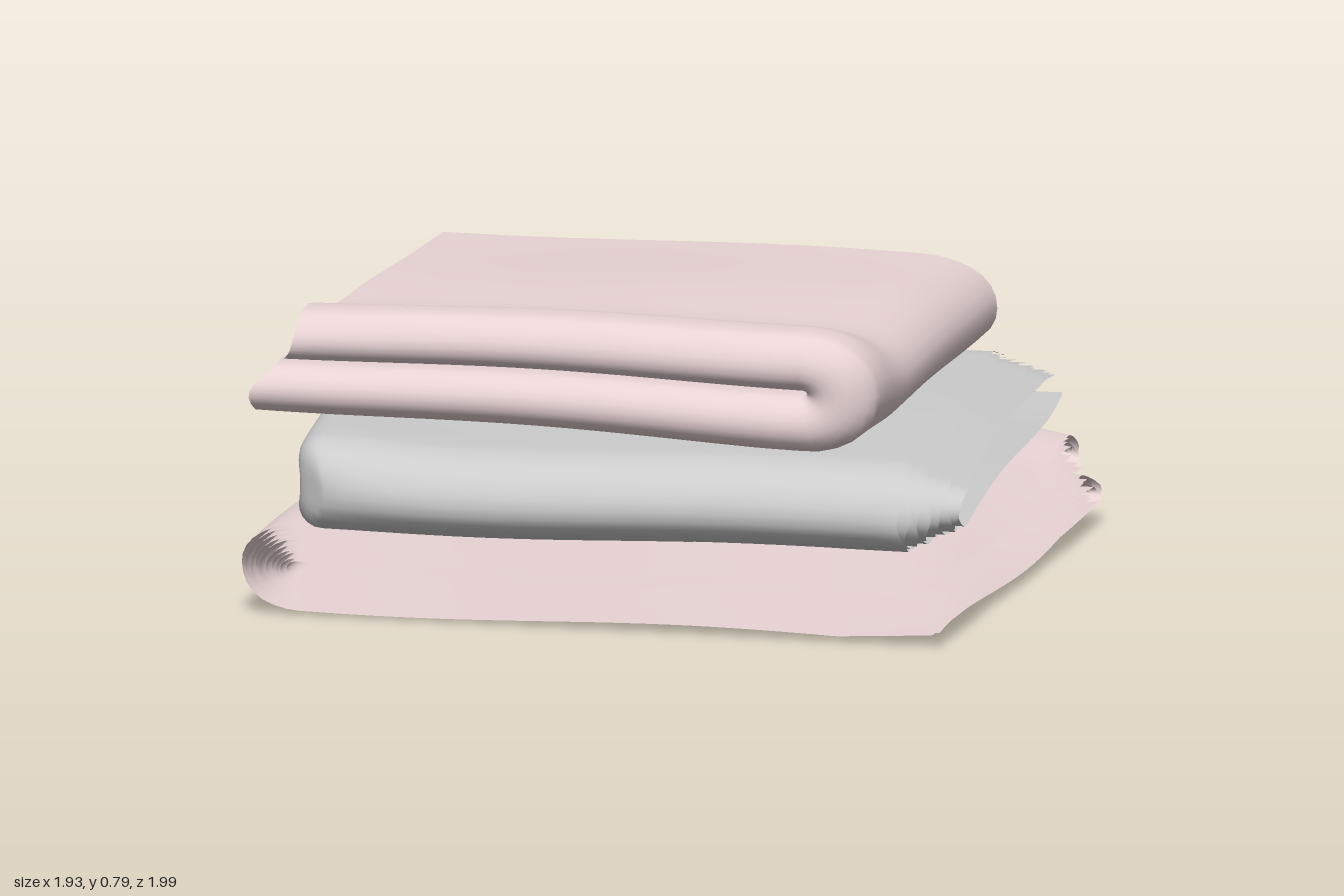
import * as THREE from 'three';

const pink = new THREE.MeshStandardMaterial({ color: 0xe8d3d4, side: THREE.DoubleSide });
const grey = new THREE.MeshStandardMaterial({ color: 0xcccccc, side: THREE.DoubleSide });
const { lerp, smoothstep } = THREE.MathUtils;

// Line - half circle - line, as fraction along the line and arc angle
function uSteps(lineN, arcN) {
  const steps = [];
  for (let i = 0; i <= lineN; i++) steps.push({ f: 1 - i / lineN, a: 0 });
  for (let i = 1; i < arcN; i++) steps.push({ f: 0, a: Math.PI * i / arcN });
  for (let i = 0; i <= lineN; i++) steps.push({ f: i / lineN, a: Math.PI });
  return steps;
}

// A cloth folded twice: first along v = 0 (nested noses), then along u = 0 (one big bend).
// place(u, v) gives the [x, z] of a point.
function foldedCloth(name, material, o, place) {
  const group = new THREE.Group();
  group.name = name;
  const h = o.height / 2;
  const depth = h - 0.006;            // thickness of one half of the stack
  const along = uSteps(26, 14), across = uSteps(22, 10);
  for (let k = 0; k < o.pairs; k++) {
    const inset = 0.47 * depth * k / (o.pairs - 0.6);
    const noseR = depth / 2 - inset;
    const pos = [], index = [];
    along.forEach((s) => across.forEach((t) => {
      // offset of the sheet inward from the outermost layer, closing up away from the noses
      const fullOff = depth / 2 - noseR * Math.cos(t.a);
      const off = fullOff * lerp(1, o.spread, smoothstep(t.f, 0, 0.9));
      const r = h - off;
      const level = r * Math.cos(s.a);              // signed height in the stack
      const rank = (1 - level / h) / 2;             // 0 on top, 1 at the bottom
      const noseV = (depth / 2 - noseR * Math.sin(t.a)) * 1.2;
      const endV = lerp(o.vOuter, o.vInner, fullOff / depth) + 0.01 * Math.sin(3 * s.f + 4 * k + 9 * rank);
      const v = lerp(noseV, endV, t.f);
      const endU = lerp(o.uTop, o.uBottom, smoothstep(rank, 0.1, 0.9)) - o.skew * v * (1 - rank)
        + o.ragged * Math.sin(4 * v + 2.3 * k + 11 * rank);
      const u = lerp((h - r * Math.sin(s.a)) * o.bend, endU, s.f);
      // soft swelling beside the first fold, loose ends pinching together, drooping bend, gentle waves
      const swell = 1 + o.swell * Math.exp(-((v - 0.12) ** 2) / 0.03);
      let y = (level + h) * swell + o.lift * rank * u - o.droop * Math.exp(-u / 0.1);
      y = lerp(y, 0.09, o.sag * Math.max(0, u - 1.6));
      y += o.base + 0.006 * Math.sin(4.2 * u + 1.3 * v + o.phase) + 0.005 * Math.sin(5 * v + o.phase);
      // rounded corner where both folds meet
      const corner = o.corner * Math.exp(-u / 0.06) * Math.exp(-v / 0.06);
      const edge = 0.008 * Math.sin(3.4 * u + o.phase);
      const [x, z] = place(u + corner, v + corner + edge);
      pos.push(x, y, z);
    }));
    const n = across.length;
    for (let i = 0; i < along.length - 1; i++) {
      for (let j = 0; j < n - 1; j++) {
        const a = i * n + j, b = a + 1, c = a + n, d = c + 1;
        index.push(a, b, c, b, d, c);
      }
    }
    const geo = new THREE.BufferGeometry();
    geo.setAttribute('position', new THREE.Float32BufferAttribute(pos, 3));
    geo.setIndex(index);
    geo.computeVertexNormals();
    const mesh = new THREE.Mesh(geo, material);
    mesh.name = name + 'Layer' + (k + 1);
    group.add(mesh);
  }
  return group;
}

export function createModel() {
  const model = new THREE.Group();
  model.name = 'foldedClothStack';

  // Bottom cloth: big bend at -x, noses at the back, loose at +x and the front
  const bottom = foldedCloth('bottomCloth', pink, {
    height: 0.228, base: 0.014, pairs: 5, swell: 0.1, sag: 1.0, lift: 0, droop: 0, phase: 0.6, ragged: 0.012,
    bend: 1.4, spread: 0.85, corner: 0.07, skew: 0, uTop: 1.8, uBottom: 1.87, vOuter: 1.7, vInner: 1.73,
  }, (u, v) => [u - 0.94, v - 0.875]);
  bottom.rotation.y = -0.025;

  // Middle cloth: big bend at the front, noses at -x, loose at +x and the back
  const middle = foldedCloth('middleCloth', grey, {
    height: 0.235, base: 0.243, pairs: 5, swell: 0.06, sag: 1.6, lift: 0, droop: 0.02, phase: 2.1, ragged: 0.012,
    bend: 1.5, spread: 0.62, corner: 0.07, skew: 0.05, uTop: 1.8, uBottom: 1.88, vOuter: 1.61, vInner: 1.76,
  }, (u, v) => [v - 0.87, 0.945 - u]);
  middle.rotation.y = 0.08;

  // Top cloth: big bend at +x, noses at the front, loose at -x and the back
  const top = foldedCloth('topCloth', pink, {
    height: 0.262, base: 0.471, pairs: 2, swell: 0.24, sag: 0, lift: 0.03, droop: 0, phase: 4, ragged: 0.008,
    bend: 1.6, spread: 0.35, corner: 0.03, skew: 0.04, uTop: 1.55, uBottom: 1.68, vOuter: 1.4, vInner: 1.43,
  }, (u, v) => [0.72 - u, 0.725 - v]);

  model.add(bottom, middle, top);
  return model;
}
